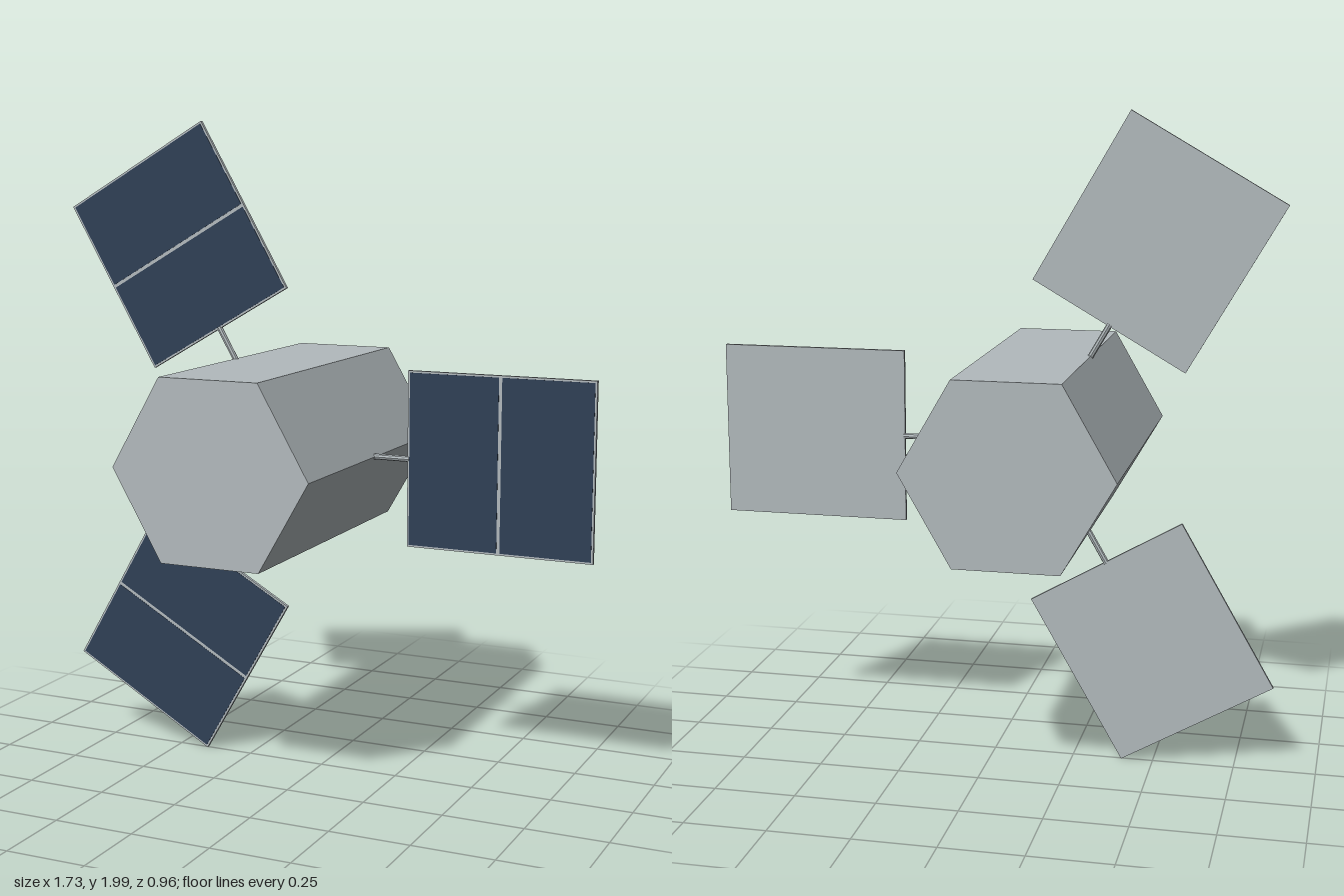
import * as THREE from 'three';

const CENTRE_X = -0.135;
const BODY_RADIUS = 0.315;
const PANEL = { inner: 0.42, outer: 0.997, width: 0.534, depth: 0.011 };

export function createModel() {
  const hull = new THREE.MeshStandardMaterial({ color: 0xb2babd, flatShading: true });
  hull.name = 'hullGrey';
  const solar = new THREE.MeshStandardMaterial({ color: 0x304056 });
  solar.name = 'solarBlue';

  const model = new THREE.Group();
  model.name = 'satellite';

  const add = (parent, name, geometry, material, x = 0, y = 0, z = 0) => {
    const mesh = new THREE.Mesh(geometry, material);
    mesh.name = name;
    mesh.position.set(x, y, z);
    parent.add(mesh);
  };

  // Hexagonal body lying along z, with corners pointing to +x and -x
  const body = new THREE.CylinderGeometry(BODY_RADIUS, BODY_RADIUS, 0.964, 6);
  body.rotateY(Math.PI / 6).rotateX(Math.PI / 2);
  add(model, 'body', body, hull, CENTRE_X, 1, 0);

  // Three wings spaced evenly round the body, each built along +x
  const length = PANEL.outer - PANEL.inner;
  const middle = (PANEL.outer + PANEL.inner) / 2;
  const border = 0.006;
  const gap = 0.01;
  const cellLength = (length - 2 * border - gap) / 2;
  for (let i = 0; i < 3; i++) {
    const wing = new THREE.Group();
    wing.name = 'wing' + (i + 1);
    wing.position.set(CENTRE_X, 1, 0);
    wing.rotation.z = (i * Math.PI * 2) / 3;

    // Strut from inside the body corner to the panel edge
    const strut = new THREE.CylinderGeometry(0.009, 0.009, 0.13, 8).rotateZ(Math.PI / 2);
    add(wing, 'strut', strut, hull, 0.36);

    add(wing, 'panelFrame', new THREE.BoxGeometry(length, PANEL.width, PANEL.depth), hull, middle);

    // Two solar cells on the front face only
    for (const side of [-1, 1]) {
      const cell = new THREE.BoxGeometry(cellLength, PANEL.width - 2 * border, 0.002);
      add(wing, 'solarCell', cell, solar, middle + side * (cellLength + gap) / 2, 0, PANEL.depth / 2);
    }
    model.add(wing);
  }
  return model;
}
